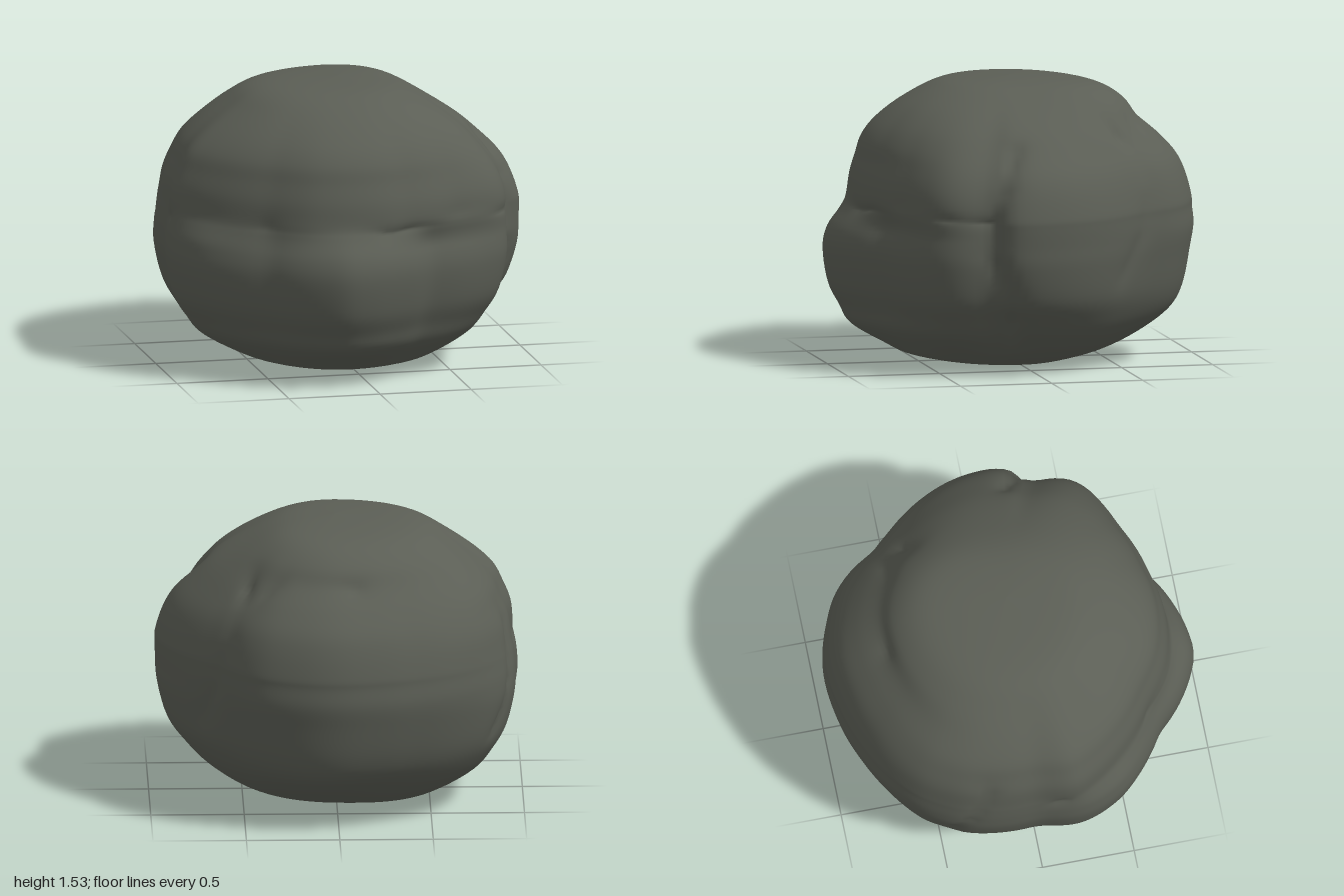
import * as THREE from 'three';

const { lerp, smoothstep } = THREE.MathUtils;

// height, then reach toward -x, +x, +z (front) and -z (back)
const PROFILE = [
  [0, 0, 0, 0, 0], [0.01, 0.3, 0.32, 0.32, 0.18], [0.04, 0.5, 0.44, 0.55, 0.42],
  [0.1, 0.64, 0.58, 0.68, 0.59], [0.2, 0.8, 0.73, 0.85, 0.76], [0.3, 0.88, 0.83, 0.91, 0.88],
  [0.42, 0.95, 0.92, 0.97, 0.94], [0.6, 0.99, 0.97, 1, 0.98], [0.72, 0.99, 0.98, 0.975, 1],
  [0.82, 0.98, 0.985, 0.9, 0.99], [0.88, 0.97, 0.98, 0.865, 0.985], [1, 0.95, 0.94, 0.84, 0.95],
  [1.1, 0.91, 0.88, 0.81, 0.9], [1.2, 0.86, 0.78, 0.78, 0.81], [1.3, 0.76, 0.66, 0.71, 0.7],
  [1.4, 0.62, 0.5, 0.59, 0.62], [1.48, 0.48, 0.34, 0.43, 0.48], [1.515, 0.3, 0.2, 0.28, 0.28],
  [1.53, 0, 0, 0, 0],
];
const UPPER_FRONT = 0.865;

// plan outlines as x, z: shared sides and back, with a different front below and above the ledge
const SIDES = [
  [-0.99, 0.2], [-0.96, 0], [-0.97, -0.15], [-0.92, -0.43], [-0.8, -0.64], [-0.43, -0.89],
  [-0.2, -0.97], [0, -1], [0.12, -0.99], [0.42, -0.87], [0.53, -0.77], [0.6, -0.67], [0.71, -0.54],
  [0.86, -0.35], [0.96, -0.11], [0.985, 0.1], [0.96, 0.23], [0.86, 0.3], [0.84, 0.5], [0.78, 0.59],
];
const toPolar = (points) => points
  .map(([x, z]) => [Math.atan2(z, x), Math.hypot(x, z)]).sort((a, b) => a[0] - b[0]);
const LOWER = toPolar([...SIDES, [0.41, 0.77], [0.33, 0.79], [0.24, 0.87], [0, 0.975], [-0.17, 0.995],
  [-0.28, 0.95], [-0.46, 0.83], [-0.55, 0.74], [-0.88, 0.48], [-0.97, 0.3]]);
const UPPER = toPolar([...SIDES, [0.5, 0.74], [0.2, 0.83], [-0.1, 0.865], [-0.34, 0.82],
  [-0.55, 0.69], [-0.83, 0.45], [-0.94, 0.29]]);

// cracks between the lumps: depth, width, path
const CRACKS = [
  [0.03, 0.04, [[-0.97, 0.83, 0.1], [-0.55, 0.87, 0.65], [0.1, 0.84, 0.87], [0.5, 0.9, 0.7], [0.8, 0.87, 0.55], [0.86, 0.85, 0.28]]],
  [0.05, 0.045, [[0.75, 1.24, 0.14], [0.87, 1.02, 0.22], [0.86, 0.85, 0.28], [0.88, 0.68, 0.31], [0.87, 0.45, 0.2], [0.7, 0.12, 0.14]]],
  [0.04, 0.035, [[0.42, 1.3, -0.4], [0.56, 1.2, -0.6], [0.64, 1, -0.65], [0.68, 0.75, -0.62], [0.76, 0.52, -0.5]]],
  [0.025, 0.05, [[-0.1, 1.3, -0.68], [0.25, 1.32, -0.55], [0.5, 1.2, -0.65]]],
  [0.03, 0.035, [[-0.75, 1.12, -0.28], [-0.9, 1, -0.27], [-0.92, 0.7, -0.38], [-0.85, 0.45, -0.5]]],
].map(([depth, width, path]) => {
  const pts = path.map((p) => new THREE.Vector3(...p));
  return { depth, width, lines: pts.slice(1).map((p, i) => new THREE.Line3(pts[i], p)) };
});

function outlineAt(outline, angle) {
  const n = outline.length;
  let i = outline.findIndex((p) => p[0] > angle);
  if (i < 0) i = n;
  const a = outline[(i + n - 1) % n], b = outline[i % n];
  const a0 = i === 0 ? a[0] - 2 * Math.PI : a[0];
  const b0 = i === n ? b[0] + 2 * Math.PI : b[0];
  return lerp(a[1], b[1], (angle - a0) / (b0 - a0));
}

// outline radius with its corners softened
function planRadius(outline, angle) {
  let sum = 0;
  for (let k = -2; k <= 2; k++) {
    const a = angle + k * 0.025;
    sum += outlineAt(outline, Math.atan2(Math.sin(a), Math.cos(a)));
  }
  return sum / 5;
}

// smooth curve through the profile rows
function profileAt(t) {
  const last = PROFILE.length - 1;
  const i = Math.min(Math.floor(t * last), last - 1), f = t * last - i;
  const [a, b, c, d] = [-1, 0, 1, 2].map((k) => PROFILE[THREE.MathUtils.clamp(i + k, 0, last)]);
  return b.map((v, k) => {
    const m0 = (c[k] - a[k]) / 2, m1 = (d[k] - v) / 2, e = c[k] - v;
    return Math.max(0, v + f * (m0 + f * (3 * e - 2 * m0 - m1 + f * (m0 + m1 - 2 * e))));
  });
}

function boulderGeometry(segments, rows) {
  const centre = new THREE.Vector3(0, 0.75, 0), near = new THREE.Vector3();
  const positions = [], index = [];
  for (let j = 0; j <= rows; j++) {
    const [y, left, right, front, back] = profileAt(j / rows);
    const above = smoothstep(y, 0.74, 0.9);
    const frontScale = front / lerp(1, UPPER_FRONT, above);
    for (let i = 0; i < segments; i++) {
      const angle = -Math.PI + (i / segments) * 2 * Math.PI;
      const cx = Math.cos(angle), cz = Math.sin(angle);
      const side = cx < 0 ? left : right;
      const scale = side * cx * cx + (cz > 0 ? frontScale : back) * cz * cz;
      const plan = lerp(planRadius(LOWER, angle), planRadius(UPPER, angle), above);
      // rounder toward the top and bottom, fullest under the back right corner
      const fullness = 0.02 + (cx < 0 && cz < 0 ? 0.05 * (1 - smoothstep(y, 0.2, 1)) : 0);
      const round = (side * cx * cx + (cz > 0 ? front : back) * cz * cz)
        * (1 + fullness * Math.sin(2 * angle) ** 2);
      const r = lerp(round, scale * plan, smoothstep(scale, 0.35, 1));
      const p = new THREE.Vector3(cx * r, y, cz * r);
      // gentle lumps, then the cracks
      let shift = 0.008 * Math.sin(5 * p.x + 2 * p.y) * Math.sin(6 * p.z - 4 * p.y + 1) * scale;
      for (const { depth, width, lines } of CRACKS) {
        const d = Math.min(...lines.map((l) => l.closestPointToPoint(p, true, near).distanceTo(p)));
        shift -= depth * Math.exp(-d / width);
      }
      p.addScaledVector(p.clone().sub(centre).normalize(), shift);
      positions.push(p.x, Math.max(0, p.y), p.z);
    }
  }
  for (let j = 0; j < rows; j++) {
    for (let i = 0; i < segments; i++) {
      const n = (i + 1) % segments;
      const a = j * segments + i, b = j * segments + n, c = a + segments, d = b + segments;
      if (j > 0) index.push(a, c, b);
      if (j < rows - 1) index.push(b, c, d);
    }
  }
  const geometry = new THREE.BufferGeometry();
  geometry.setAttribute('position', new THREE.Float32BufferAttribute(positions, 3));
  geometry.setIndex(index);
  geometry.computeVertexNormals();
  return geometry;
}

export function createModel() {
  const stone = new THREE.MeshStandardMaterial({ color: 0x5b5e55 });
  stone.name = 'darkStone';
  const boulder = new THREE.Mesh(boulderGeometry(144, 90), stone);
  boulder.name = 'boulder';
  const group = new THREE.Group();
  group.name = 'rock';
  group.add(boulder);
  return group;
}
